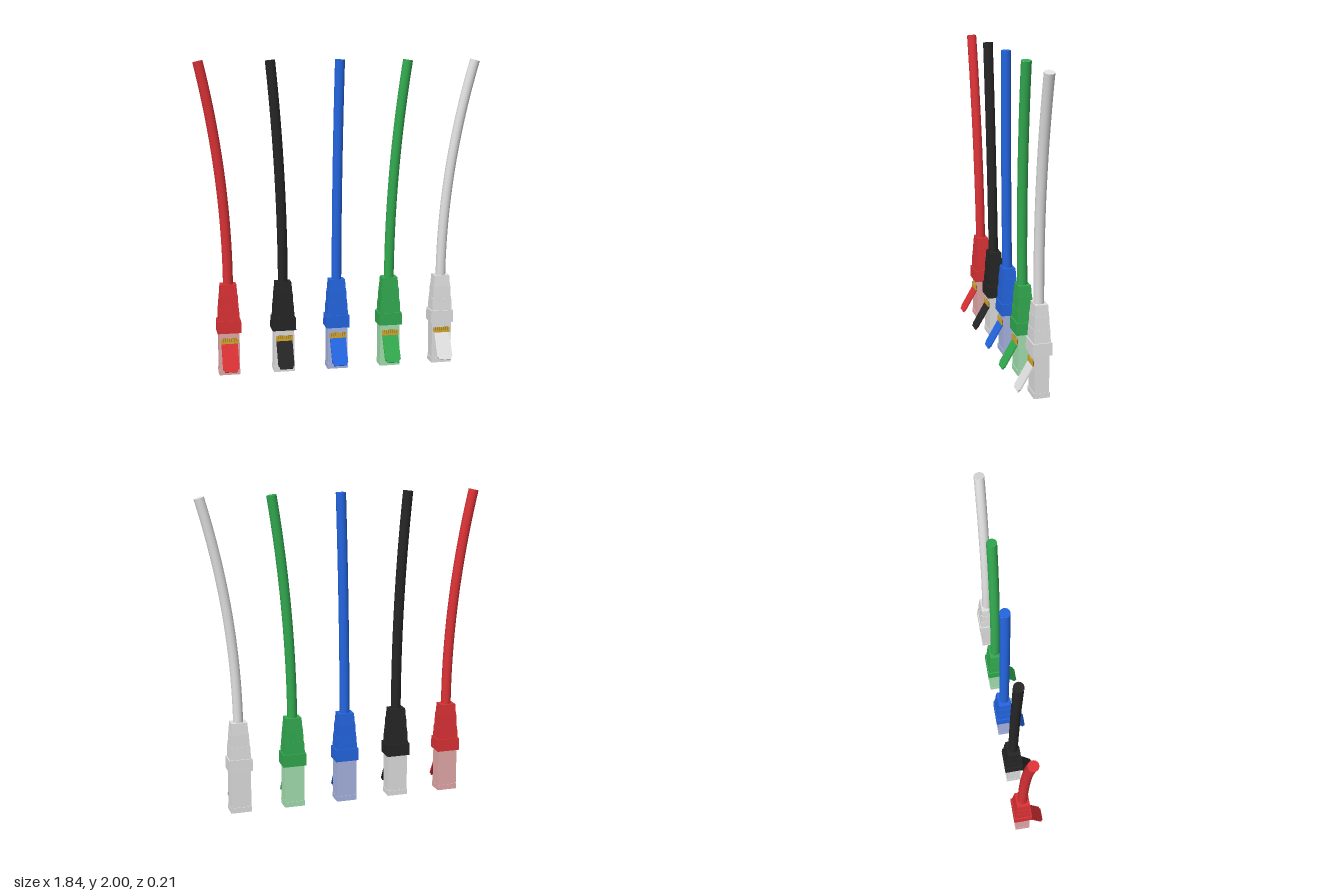
import * as THREE from 'three';

const material = (name, color) => {
  const m = new THREE.MeshStandardMaterial({ color });
  m.name = name;
  return m;
};

const Z = -0.04; // centre depth of plugs and boots

// Box resting on its own base, narrowing towards the top
function taperedBox(w, d, h, topW = w, topD = d) {
  const g = new THREE.BoxGeometry(w, h, d);
  const p = g.attributes.position;
  for (let i = 0; i < p.count; i++) {
    if (p.getY(i) > 0) {
      p.setX(i, p.getX(i) * topW / w);
      p.setZ(i, p.getZ(i) * topD / d);
    }
  }
  g.translate(0, h / 2, 0);
  g.computeVertexNormals();
  return g;
}

function add(parent, name, geometry, mat, x = 0, y = 0, z = 0) {
  const mesh = new THREE.Mesh(geometry, mat);
  mesh.name = name;
  mesh.position.set(x, y, z);
  parent.add(mesh);
  return mesh;
}

// Spring latch outline hanging down from its hinge, with a narrower tip
function latchGeometry() {
  const s = new THREE.Shape();
  [[-0.052, 0], [-0.052, -0.172], [-0.043, -0.178], [-0.041, -0.192],
    [0.041, -0.192], [0.043, -0.178], [0.052, -0.172], [0.052, 0]]
    .forEach(([x, y], i) => (i ? s.lineTo(x, y) : s.moveTo(x, y)));
  return new THREE.ExtrudeGeometry(s, { depth: 0.01, bevelEnabled: false });
}

export function createModel() {
  const model = new THREE.Group();
  model.name = 'networkCables';

  const red = material('red', 0xdc3236);
  const black = material('black', 0x262626);
  const blue = material('blue', 0x2466e2);
  const green = material('green', 0x32ab50);
  const white = material('white', 0xe2e2e2);
  const clearRed = material('tintedRed', 0xe8acac);
  const clearBlue = material('tintedBlue', 0xabb7e6);
  const clearGreen = material('tintedGreen', 0xa6e4b2);
  const gold = material('gold', 0xd8ac30);
  const darkGold = material('darkGold', 0x8c6a1e);

  // name, sleeve colour, plug colour, plug x, cable end x
  const cables = [
    ['red', red, clearRed, -0.725, -0.89],
    ['black', black, white, -0.372, -0.443],
    ['blue', blue, clearBlue, -0.021, 0.0],
    ['green', green, clearGreen, 0.329, 0.441],
    ['white', white, white, 0.68, 0.885],
  ];

  // Boot steps: base y, height, base width and depth, top width and depth
  const steps = [
    [0.275, 0.08, 0.152, 0.122, 0.15, 0.12],
    [0.355, 0.08, 0.134, 0.106, 0.126, 0.1],
    [0.435, 0.082, 0.122, 0.096, 0.114, 0.09],
    [0.517, 0.072, 0.11, 0.088, 0.1, 0.078],
  ];

  for (const [name, sleeve, clear, x, endX] of cables) {
    const cable = new THREE.Group();
    cable.name = name + 'Cable';
    cable.position.x = x;
    model.add(cable);

    // Plug body with a slightly wider lip at its open end
    add(cable, 'plugBody', taperedBox(0.13, 0.092, 0.245), clear, 0, 0.03, Z);
    add(cable, 'plugLip', taperedBox(0.134, 0.1, 0.034), clear, 0, 0, Z);

    // Stepped strain relief boot
    const boot = new THREE.Group();
    boot.name = 'boot';
    cable.add(boot);
    for (const [y, h, w, d, tw, td] of steps) {
      add(boot, 'bootStep', taperedBox(w, d, h, tw, td), sleeve, 0, y, Z);
    }

    // Contact pins on a darker backing
    add(cable, 'contactBacking', taperedBox(0.11, 0.008, 0.034), darkGold, 0, 0.206, 0.008);
    add(cable, 'contactBar', taperedBox(0.11, 0.01, 0.012), gold, 0, 0.206, 0.01);
    for (let i = 0; i < 8; i++) {
      add(cable, 'contactPin', taperedBox(0.0105, 0.01, 0.034), gold, (i - 3.5) * 0.0139, 0.206, 0.011);
    }

    // Latch leaning outwards
    const latch = add(cable, 'latch', latchGeometry(), sleeve, 0, 0.208, 0.001);
    latch.rotation.x = -Math.PI / 6;

    // Bent cable, closed at its upper end
    const dx = endX - x;
    const end = new THREE.Vector3(dx, 2 - 0.045 * Math.abs(dx), -0.022);
    const path = new THREE.QuadraticBezierCurve3(
      new THREE.Vector3(0, 0.57, Z + 0.003),
      new THREE.Vector3(0, 1.28, -0.026),
      end,
    );
    add(cable, 'sleeve', new THREE.TubeGeometry(path, 24, 0.032, 16), sleeve);
    const cap = add(cable, 'sleeveEnd', new THREE.CircleGeometry(0.032, 16), sleeve, end.x, end.y, end.z);
    cap.quaternion.setFromUnitVectors(new THREE.Vector3(0, 0, 1), path.getTangent(1));
  }
  return model;
}
